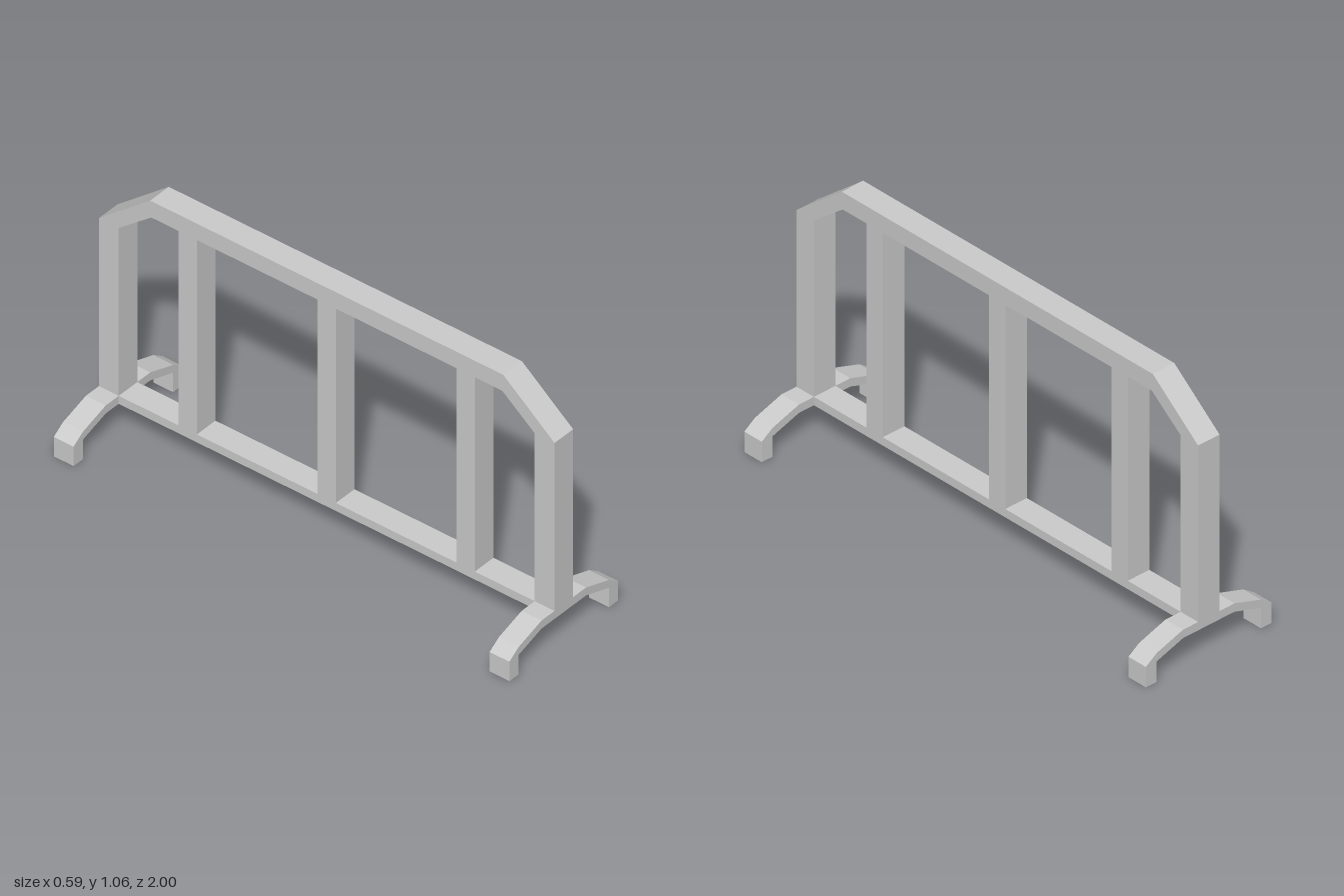
import * as THREE from 'three';

const WIDTH = 0.1;                 // thickness of the fence panel along x
const RAIL_BOTTOM = 0.123, RAIL_TOP = 0.157;
const ARCH_INNER = 0.988;          // underside of the top rail
const END = 1, END_INNER = 0.913;  // outer and inner faces of the end posts

const material = new THREE.MeshStandardMaterial({ color: 0xcccccc, flatShading: true });

function addMesh(group, name, geometry) {
  const mesh = new THREE.Mesh(geometry, material);
  mesh.name = name;
  group.add(mesh);
  return mesh;
}

// Closes a half profile with its mirror image and extrudes it, centred in depth
function mirroredExtrude(outer, inner, depth) {
  const flip = (pts) => pts.map(([x, y]) => [-x, y]).reverse();
  const outline = [...outer, ...flip(outer), ...flip(inner).reverse(), ...inner.slice().reverse()];
  const shape = new THREE.Shape(outline.map(([x, y]) => new THREE.Vector2(x, y)));
  return new THREE.ExtrudeGeometry(shape, { depth, bevelEnabled: false }).translate(0, 0, -depth / 2);
}

export function createModel() {
  const model = new THREE.Group();
  model.name = 'barrier';

  // End posts and top rail with chamfered corners
  const arch = mirroredExtrude(
    [[END, RAIL_TOP], [END, 0.875], [0.775, 1.058]],
    [[END_INNER, RAIL_TOP], [END_INNER, 0.875], [0.77, ARCH_INNER]],
    WIDTH
  );
  addMesh(model, 'archFrame', arch.rotateY(-Math.PI / 2));

  // Thin lower rail between the feet
  const rail = addMesh(model, 'lowerRail',
    new THREE.BoxGeometry(WIDTH, RAIL_TOP - RAIL_BOTTOM, 2 * END_INNER));
  rail.position.y = (RAIL_TOP + RAIL_BOTTOM) / 2;

  // Upright bars
  for (const z of [-0.61, 0, 0.61]) {
    const bar = addMesh(model, 'uprightBar', new THREE.BoxGeometry(WIDTH, ARCH_INNER - RAIL_TOP, 0.08));
    bar.position.set(0, (ARCH_INNER + RAIL_TOP) / 2, z);
  }

  // Bridge-shaped feet under both ends
  const foot = mirroredExtrude(
    [[0.293, 0], [0.293, 0.083], [0.243, 0.117], [0.12, RAIL_TOP]],
    [[0.243, 0], [0.243, 0.083], [0.12, RAIL_BOTTOM]],
    END - END_INNER
  );
  for (const [name, side] of [['frontFoot', 1], ['backFoot', -1]]) {
    addMesh(model, name, foot).position.z = side * (END + END_INNER) / 2;
  }

  return model;
}
